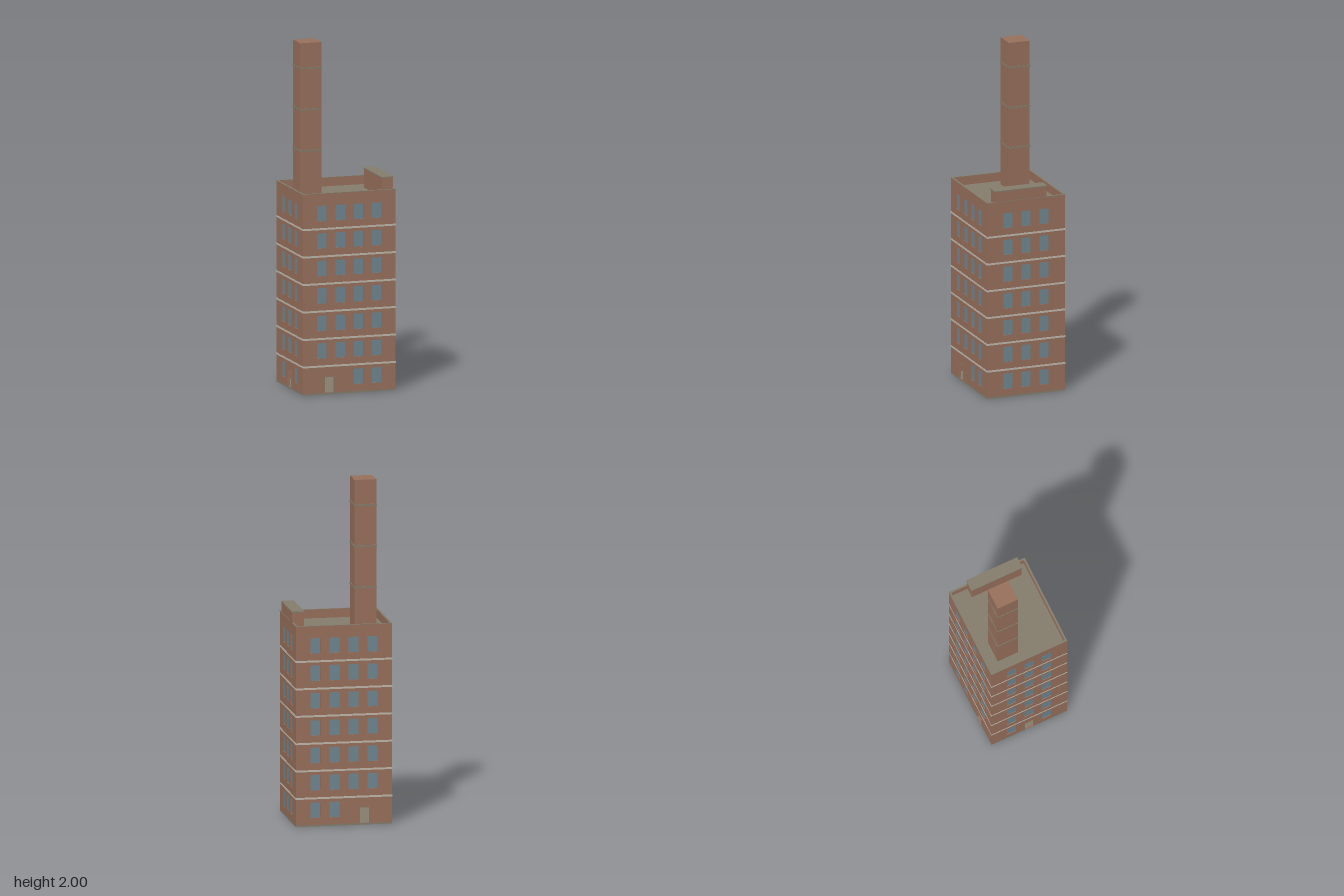
import * as THREE from 'three';

const mat = (name, color, extra = {}) => {
  const m = new THREE.MeshStandardMaterial({ color, ...extra });
  m.name = name;
  return m;
};

// Main dimensions
const HX = 0.28, HZ = 0.24, T = 0.01, FLOOR = 0.16, FLOORS = 7, BASE = 0.01, TOP = 1.17;
const WIN_W = 0.058, WIN_H = 0.09, PITCH = 0.111, DOOR_W = 0.055, DOOR_TOP = 0.1;

export function createModel() {
  const brick = mat('brick', 0x98705c);
  const concrete = mat('concrete', 0x857c6b);
  const trim = mat('pale stone', 0xc0b9ae);
  const glass = mat('window glass', 0x6f8792);
  const model = new THREE.Group();
  model.name = 'towerBuilding';

  function box(parent, name, material, w, h, d, x, y, z) {
    const m = new THREE.Mesh(new THREE.BoxGeometry(w, h, d), material);
    m.name = name;
    m.position.set(x, y, z);
    parent.add(m);
    return m;
  }

  // Rectangle outline, used for walls, openings and rings
  function rect(Type, x0, y0, x1, y1) {
    const p = new Type();
    p.moveTo(x0, y0);
    p.lineTo(x1, y0);
    p.lineTo(x1, y1);
    p.lineTo(x0, y1);
    p.closePath();
    return p;
  }

  function extrude(parent, name, material, shape, depth) {
    const m = new THREE.Mesh(new THREE.ExtrudeGeometry(shape, { depth, bevelEnabled: false }), material);
    m.name = name;
    parent.add(m);
    return m;
  }

  // One wall facing +z with window openings, recessed panes and an optional doorway
  function wall(name, length, cols, dist, angle, doorX = null) {
    const g = new THREE.Group();
    g.name = name;
    const shape = rect(THREE.Shape, -length / 2, BASE, length / 2, TOP);
    for (let f = 0; f < FLOORS; f++) {
      for (let c = 0; c < cols; c++) {
        const x = (c - (cols - 1) / 2) * PITCH, y = 0.095 + f * FLOOR;
        if (f === 0 && doorX !== null && Math.abs(x - doorX) < 0.08) continue;
        const w = WIN_W / 2, h = WIN_H / 2;
        shape.holes.push(rect(THREE.Path, x - w, y - h, x + w, y + h));
        box(g, 'windowPane', glass, WIN_W, WIN_H, 0.003, x, y, -0.0055);
      }
    }
    if (doorX !== null) {
      const a = doorX - DOOR_W / 2, b = doorX + DOOR_W / 2, e = 0.003;
      shape.holes.push(rect(THREE.Path, a, BASE + 0.001, b, DOOR_TOP));
      // Thin frame standing just proud of the wall
      const frame = rect(THREE.Shape, a - e, BASE, b + e, DOOR_TOP + e);
      frame.holes.push(rect(THREE.Path, a, BASE + 0.001, b, DOOR_TOP));
      extrude(g, 'doorFrame', concrete, frame, 0.0015);
    }
    extrude(g, 'brickWall', brick, shape, T).position.z = -T;
    g.rotation.y = angle;
    g.position.set(Math.sin(angle) * dist, 0, Math.cos(angle) * dist);
    model.add(g);
  }

  wall('frontWall', 2 * HX, 4, HZ, 0, -0.12);
  wall('backWall', 2 * HX, 4, HZ, Math.PI, 0.12);
  wall('leftWall', 2 * (HZ - T), 3, HX, Math.PI / 2);
  wall('rightWall', 2 * (HZ - T), 3, HX, -Math.PI / 2, 0);

  // Ground slab, ground floor ceiling and sunken roof
  box(model, 'groundSlab', concrete, 2 * HX, BASE, 2 * HZ, 0, BASE / 2, 0);
  box(model, 'ceiling', concrete, 2 * (HX - T), 0.01, 2 * (HZ - T), 0, 0.154, 0);
  box(model, 'roof', concrete, 2 * (HX - T), 0.01, 2 * (HZ - T), 0, 1.115, 0);

  // Stone bands between the floors
  for (let f = 1; f < FLOORS; f++) {
    box(model, 'floorBand', trim, 2 * HX + 0.003, 0.011, 2 * HZ + 0.003, 0, f * FLOOR + 0.0045, 0);
  }

  // Parapet coping
  const ring = rect(THREE.Shape, -HX - 0.0015, -HZ - 0.0015, HX + 0.0015, HZ + 0.0015);
  ring.holes.push(rect(THREE.Path, -HX + T, -HZ + T, HX - T, HZ - T));
  const coping = extrude(model, 'parapetCoping', concrete, ring, 0.003);
  coping.rotation.x = -Math.PI / 2;
  coping.position.y = TOP - 0.001;

  // Rooftop housing with its slab
  box(model, 'roofHousing', brick, 0.068, 0.11, 0.316, 0.246, 1.175, 0.031);
  box(model, 'roofHousingSlab', concrete, 0.072, 0.007, 0.325, 0.2455, 1.2335, 0.0315);

  // Chimney with three bands
  const chimney = new THREE.Group();
  chimney.name = 'chimney';
  chimney.position.set(-0.14, 0, -0.1);
  model.add(chimney);
  box(chimney, 'chimneyShaft', brick, 0.128, 0.885, 0.128, 0, 1.5575, 0);
  for (let i = 0; i < 3; i++) {
    box(chimney, 'chimneyBand', concrete, 0.134, 0.011, 0.134, 0, 1.372 + i * 0.24, 0);
  }
  return model;
}
